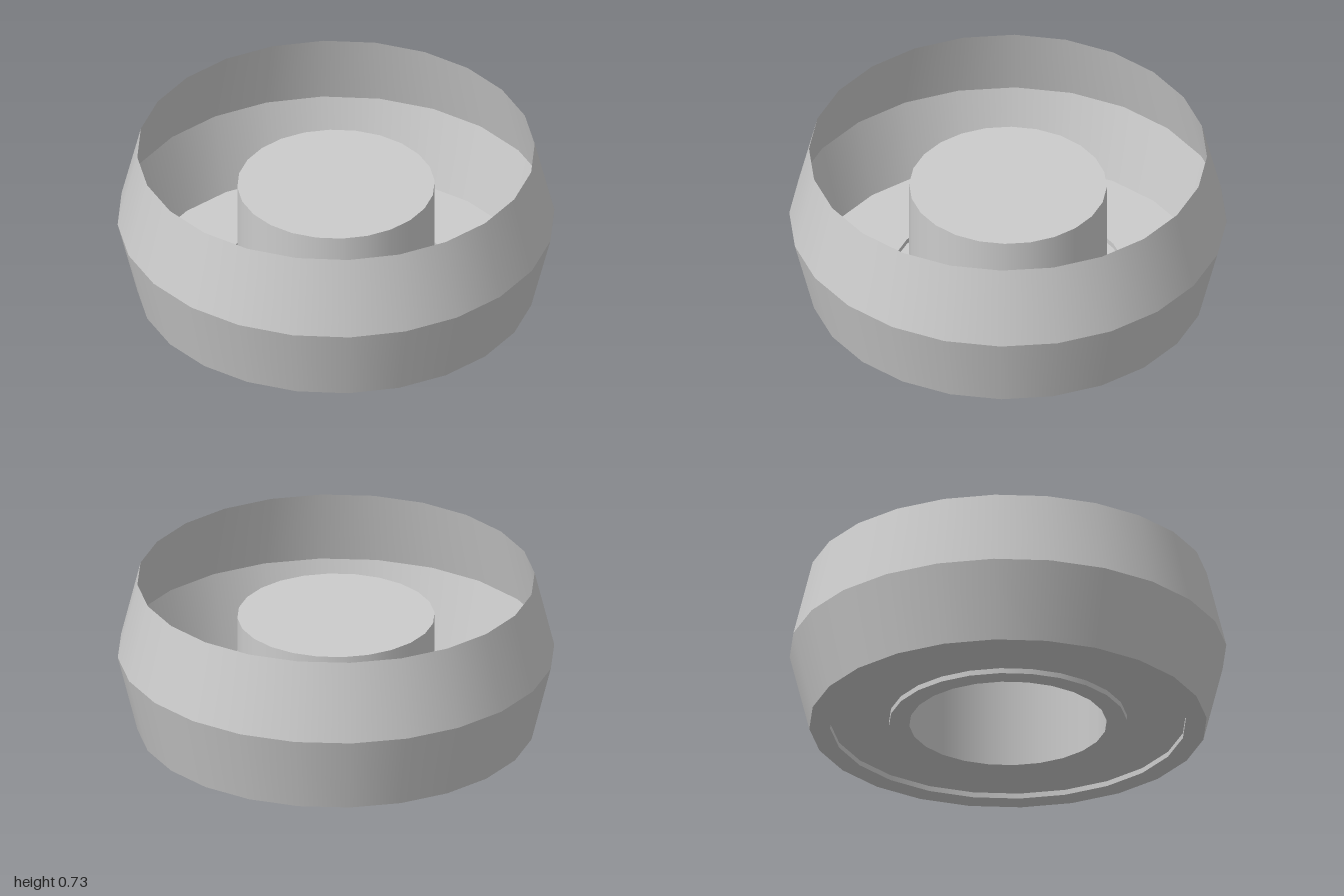
import * as THREE from 'three';

const SIDES = 24;

export function createModel() {
  const group = new THREE.Group();
  group.name = 'ringDish';
  const material = new THREE.MeshStandardMaterial({ color: 0xcccccc, side: THREE.DoubleSide });

  // One revolved band per profile step: smooth around, crisp between bands
  const band = (name, r0, y0, r1, y1) => {
    const profile = [new THREE.Vector2(r0, y0), new THREE.Vector2(r1, y1)];
    const mesh = new THREE.Mesh(new THREE.LatheGeometry(profile, SIDES), material);
    mesh.name = name;
    group.add(mesh);
  };

  const hubR = 0.452, hubTop = 0.545, step = 0.025;
  const footInner = 0.545, footOuter = 0.815;
  const rimR = 0.91, midY = 0.365, height = 0.73;

  // Hollow central hub, closed on top and open underneath
  band('hubCap', 0, hubTop, hubR, hubTop);
  band('hubWall', hubR, hubTop, hubR, 0);

  // Thin floor with a shallow recess between two foot rings
  band('innerFoot', hubR, 0, footInner, 0);
  band('innerStep', footInner, 0, footInner, step);
  band('floor', footInner, step, footOuter, step);
  band('outerStep', footOuter, step, footOuter, 0);
  band('outerFoot', footOuter, 0, rimR, 0);

  // Thin side wall, widest at mid height, open at the top
  band('lowerWall', rimR, 0, 1, midY);
  band('upperWall', 1, midY, rimR, height);

  return group;
}
